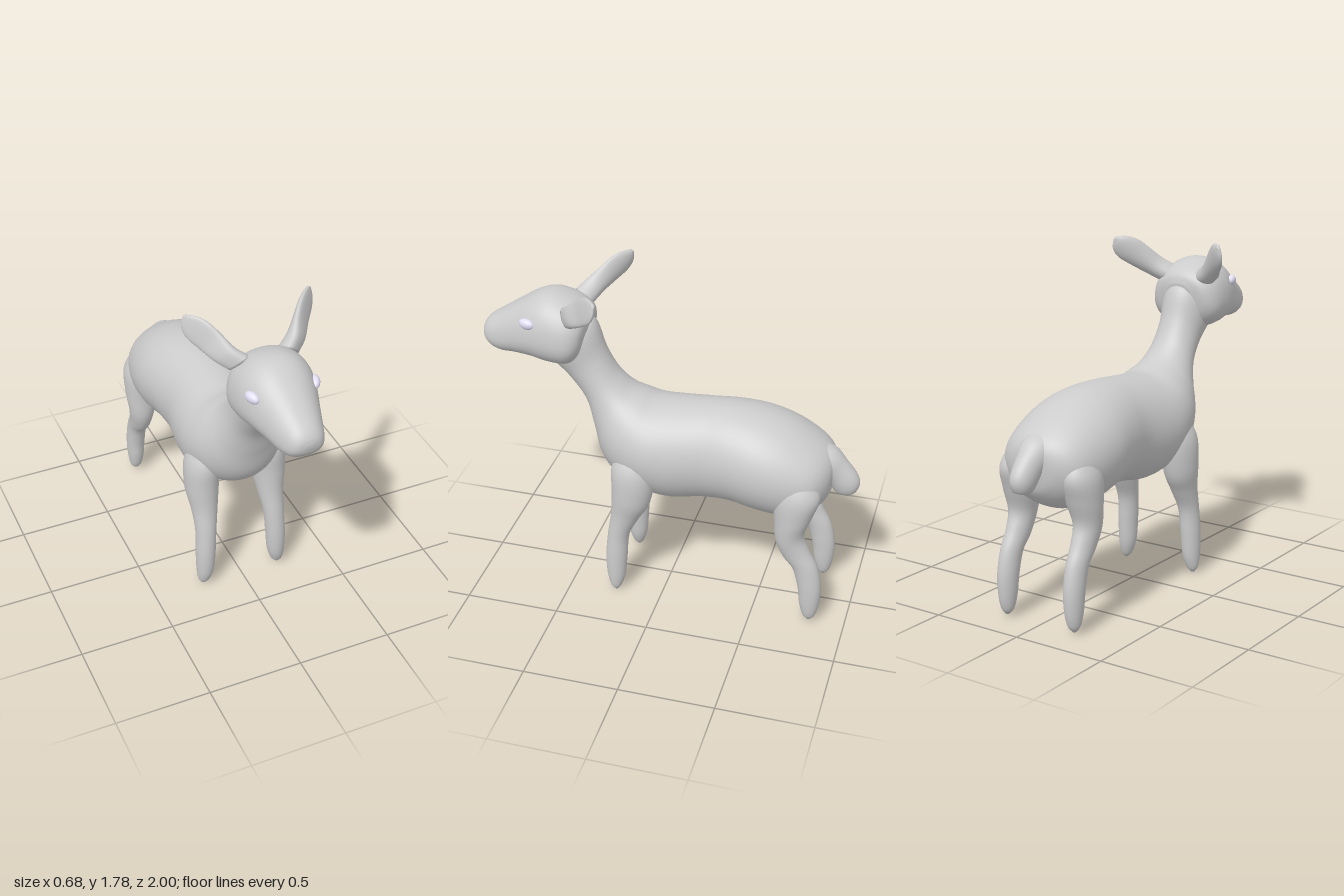
import * as THREE from 'three';

const V = (x, y, z) => new THREE.Vector3(x, y, z);
const grey = new THREE.MeshStandardMaterial({ color: 0xcccccc });
const eyeMaterial = new THREE.MeshStandardMaterial({ color: 0xe4e0f6 });

// Smooth closed skin through rings { c: centre, w: half-width vector, u: half-height vector }.
// power > 2 squares the ring, taper narrows its top, cup bends its sides along u.
function loft(name, rings, { power = 2, taper = 0, cup = 0, sides = 36, steps = 6 } = {}) {
  const curve = (key) => new THREE.CatmullRomCurve3(rings.map((r) => r[key]), false, 'catmullrom', 0.5);
  const centre = curve('c'), wide = curve('w'), up = curve('u');
  const rows = (rings.length - 1) * steps;
  const pos = [], index = [];
  const round = (v) => Math.sign(v) * Math.abs(v) ** (2 / power);
  for (let i = 0; i <= rows; i++) {
    const t = i / rows;
    const c = centre.getPoint(t), w = wide.getPoint(t), u = up.getPoint(t);
    for (let j = 0; j < sides; j++) {
      const a = (j / sides) * Math.PI * 2;
      const s = round(Math.sin(a)), k = round(Math.cos(a)) * (1 - taper * s);
      const p = c.clone().addScaledVector(w, k).addScaledVector(u, s + cup * k * k);
      pos.push(p.x, p.y, p.z);
    }
  }
  for (let i = 0; i < rows; i++) {
    for (let j = 0; j < sides; j++) {
      const a = i * sides + j, b = i * sides + ((j + 1) % sides);
      index.push(a, b, b + sides, a, b + sides, a + sides);
    }
  }
  // end caps
  const first = pos.length / 3, last = first + 1, end = rows * sides;
  pos.push(...rings[0].c.toArray(), ...rings.at(-1).c.toArray());
  for (let j = 0; j < sides; j++) {
    const n = (j + 1) % sides;
    index.push(first, n, j, last, end + j, end + n);
  }
  // turn the faces outwards whichever way the rings run
  const at = (i) => V(pos[i * 3], pos[i * 3 + 1], pos[i * 3 + 2]);
  let volume = 0;
  for (let i = 0; i < index.length; i += 3) {
    volume += at(index[i]).dot(at(index[i + 1]).cross(at(index[i + 2])));
  }
  if (volume < 0) index.reverse();
  const geometry = new THREE.BufferGeometry();
  geometry.setAttribute('position', new THREE.Float32BufferAttribute(pos, 3));
  geometry.setIndex(index);
  geometry.computeVertexNormals();
  const mesh = new THREE.Mesh(geometry, grey);
  mesh.name = name;
  return mesh;
}

// Ring from two outline points in profile (z, y), a half-width and a sideways offset.
const ring = ([z1, y1, z2, y2, half, x = 0], side = 1) => ({
  c: V(x * side, (y1 + y2) / 2, (z1 + z2) / 2),
  w: V(half, 0, 0),
  u: V(0, (y1 - y2) / 2, (z1 - z2) / 2),
});
const profile = (name, list, options, side) => loft(name, list.map((r) => ring(r, side)), options);

// rump, barrel, chest and neck in one sweep
const body = [
  [-0.875, 0.84, -0.865, 0.75, 0.04],
  [-0.86, 0.93, -0.84, 0.68, 0.14],
  [-0.79, 1.0, -0.77, 0.61, 0.23],
  [-0.65, 1.08, -0.65, 0.565, 0.272],
  [-0.5, 1.125, -0.5, 0.575, 0.283],
  [-0.35, 1.14, -0.35, 0.598, 0.262],
  [-0.2, 1.135, -0.2, 0.588, 0.243],
  [-0.03, 1.12, -0.03, 0.56, 0.258],
  [0.07, 1.115, 0.12, 0.585, 0.262],
  [0.14, 1.135, 0.27, 0.66, 0.24],
  [0.2, 1.16, 0.36, 0.765, 0.2],
  [0.25, 1.2, 0.405, 0.92, 0.155],
  [0.3, 1.26, 0.45, 1.07, 0.125],
  [0.35, 1.36, 0.54, 1.19, 0.116],
  [0.4, 1.5, 0.64, 1.29, 0.13],
  [0.48, 1.56, 0.68, 1.38, 0.1],
];

// head from nape to nose
const head = [
  [0.415, 1.53, 0.43, 1.44, 0.07],
  [0.435, 1.585, 0.46, 1.34, 0.155],
  [0.5, 1.632, 0.52, 1.288, 0.197],
  [0.61, 1.66, 0.62, 1.285, 0.197],
  [0.7, 1.64, 0.71, 1.298, 0.178],
  [0.8, 1.58, 0.81, 1.3, 0.145],
  [0.9, 1.515, 0.89, 1.296, 0.117],
  [0.96, 1.475, 0.95, 1.315, 0.093],
  [0.99, 1.44, 0.985, 1.35, 0.062],
  [1.0, 1.41, 0.998, 1.385, 0.02],
];

const tail = [
  [-0.74, 1.0, -0.74, 0.8, 0.11],
  [-0.86, 0.96, -0.8, 0.8, 0.09],
  [-0.93, 0.89, -0.84, 0.76, 0.07],
  [-0.985, 0.82, -0.865, 0.725, 0.062],
  [-1.0, 0.77, -0.885, 0.705, 0.052],
  [-0.985, 0.725, -0.92, 0.7, 0.034],
  [-0.96, 0.71, -0.945, 0.705, 0.012],
];

// legs: front edge, back edge, half-width, distance from the middle
const frontLeg = [
  [0.22, 0.9, 0.08, 0.9, 0.04, 0.16],
  [0.27, 0.78, 0.04, 0.76, 0.09, 0.18],
  [0.27, 0.64, 0.065, 0.58, 0.088, 0.19],
  [0.275, 0.5, 0.125, 0.47, 0.07, 0.19],
  [0.295, 0.36, 0.178, 0.36, 0.056, 0.197],
  [0.306, 0.22, 0.19, 0.22, 0.053, 0.204],
  [0.3, 0.1, 0.2, 0.1, 0.047, 0.208],
  [0.28, 0.03, 0.22, 0.03, 0.032, 0.215],
  [0.258, 0, 0.24, 0, 0.01, 0.218],
];
const hindLeg = [
  [-0.64, 0.92, -0.76, 0.9, 0.04, 0.17],
  [-0.59, 0.78, -0.83, 0.78, 0.092, 0.185],
  [-0.6, 0.62, -0.8, 0.66, 0.09, 0.192],
  [-0.612, 0.5, -0.762, 0.54, 0.07, 0.2],
  [-0.655, 0.4, -0.79, 0.45, 0.058, 0.2],
  [-0.71, 0.33, -0.84, 0.35, 0.052, 0.202],
  [-0.742, 0.22, -0.865, 0.23, 0.051, 0.204],
  [-0.755, 0.12, -0.862, 0.12, 0.046, 0.205],
  [-0.775, 0.045, -0.845, 0.045, 0.033, 0.206],
  [-0.802, 0.012, -0.82, 0.012, 0.01, 0.207],
];

// ear: centre, half-width, half-thickness; blade turned forwards and outwards
const earRings = [
  [0.12, 1.575, 0.49, 0.06, 0.05],
  [0.18, 1.615, 0.45, 0.062, 0.042],
  [0.23, 1.665, 0.395, 0.07, 0.029],
  [0.272, 1.708, 0.35, 0.072, 0.023],
  [0.302, 1.742, 0.318, 0.052, 0.017],
  [0.322, 1.768, 0.298, 0.012, 0.008],
];
function ear(name, side) {
  const blade = V(-0.64 * side, 0.64, 0.43), face = V(0.63 * side, 0.14, 0.76);
  return loft(name, earRings.map(([x, y, z, w, t]) => ({
    c: V(x * side, y, z),
    w: blade.clone().multiplyScalar(w),
    u: face.clone().multiplyScalar(t),
  })), { cup: 0.35, sides: 28 });
}

function eye(name, side) {
  const mesh = new THREE.Mesh(new THREE.SphereGeometry(1, 24, 16), eyeMaterial);
  mesh.name = name;
  mesh.scale.set(0.026, 0.03, 0.045);
  mesh.position.set(0.158 * side, 1.526, 0.71);
  mesh.rotation.set(0, -0.3 * side, -0.35 * side);
  return mesh;
}

export function createModel() {
  const model = new THREE.Group();
  model.name = 'fawn';
  model.add(
    profile('bodyAndNeck', body, { sides: 48 }),
    profile('head', head, { power: 2.3, taper: 0.12, sides: 48 }),
    profile('tail', tail),
  );
  for (const [label, side] of [['left', 1], ['right', -1]]) {
    model.add(
      profile(label + 'FrontLeg', frontLeg, {}, side),
      profile(label + 'HindLeg', hindLeg, {}, side),
      ear(label + 'Ear', side),
      eye(label + 'Eye', side),
    );
  }
  return model;
}
